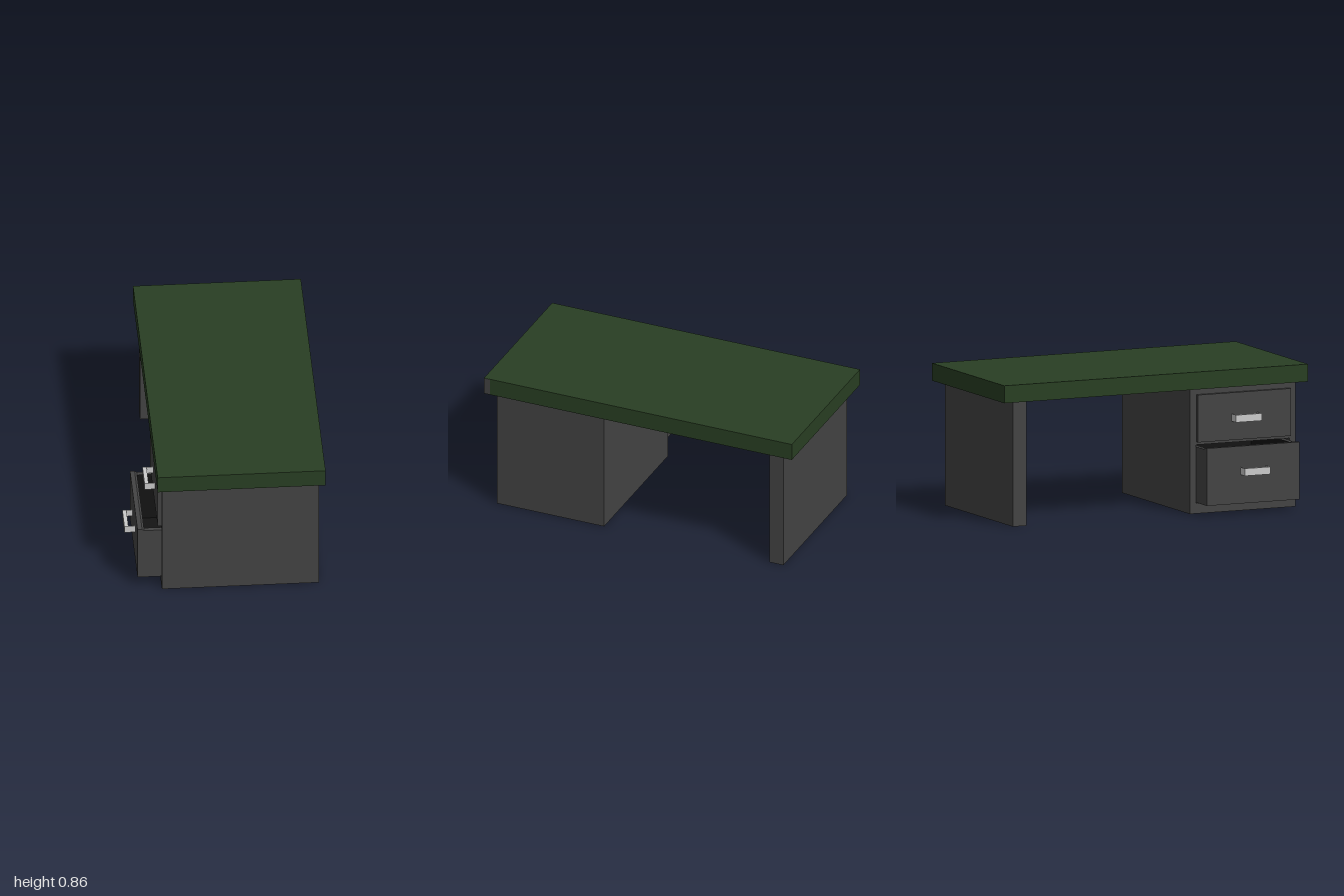
import * as THREE from 'three';

const paint = (color, side = THREE.FrontSide) =>
  new THREE.MeshStandardMaterial({ color, side, flatShading: true });

export function createModel() {
  const desk = new THREE.Group();
  desk.name = 'desk';
  const green = paint(0x293f23);
  const dark = paint(0x444444);
  const metal = paint(0xcccccc);
  const lining = paint(0x141414, THREE.BackSide);

  // Box given by its limits on each axis
  function box(name, mat, [x0, x1], [y0, y1], [z0, z1], parent = desk) {
    const mesh = new THREE.Mesh(new THREE.BoxGeometry(x1 - x0, y1 - y0, z1 - z0), mat);
    mesh.position.set((x0 + x1) / 2, (y0 + y1) / 2, (z0 + z1) / 2);
    mesh.name = name;
    parent.add(mesh);
    return mesh;
  }

  // Rectangle in the (-z, y) plane, for extruding along x
  function rect(target, [y0, y1], [z0, z1]) {
    target.moveTo(-z1, y0);
    target.lineTo(-z0, y0);
    target.lineTo(-z0, y1);
    target.lineTo(-z1, y1);
    target.closePath();
    return target;
  }

  // Worktop and the side panel
  box('worktop', green, [-0.415, 0.585], [0.75, 0.855], [-1, 1]);
  box('worktopEdgeStrip', dark, [0.58, 0.586], [0.752, 0.853], [0.96, 0.999]);
  box('sidePanel', dark, [-0.385, 0.55], [0, 0.75], [-0.93, -0.84]);

  // Pedestal: hollow part around the open drawer, solid part behind it
  const frame = rect(new THREE.Shape(), [0, 0.75], [0.235, 0.93]);
  frame.holes.push(rect(new THREE.Path(), [0.062, 0.413], [0.277, 0.893]));
  const frameGeo = new THREE.ExtrudeGeometry(frame, { depth: 0.535, bevelEnabled: false });
  frameGeo.rotateY(Math.PI / 2);
  const pedestal = new THREE.Mesh(frameGeo, dark);
  pedestal.position.x = -0.385;
  pedestal.name = 'pedestalFrame';
  desk.add(pedestal);
  box('pedestalBack', dark, [0.15, 0.55], [0, 0.75], [0.235, 0.93]);

  // Pull handle: a bar on two thin end plates
  function addHandle(parent, faceX, y) {
    const handle = new THREE.Group();
    handle.name = 'handle';
    const ys = [y - 0.022, y + 0.022];
    box('handleBar', metal, [faceX - 0.062, faceX - 0.038], ys, [0.5, 0.67], handle);
    for (const z of [0.5, 0.667])
      box('handleEnd', metal, [faceX - 0.038, faceX], ys, [z, z + 0.003], handle);
    parent.add(handle);
  }

  // Closed upper drawer
  const upper = new THREE.Group();
  upper.name = 'upperDrawer';
  box('upperDrawerFront', dark, [-0.407, -0.385], [0.43, 0.715], [0.28, 0.89], upper);
  addHandle(upper, -0.407, 0.566);
  desk.add(upper);

  // Lower drawer, pulled out: front with a sloped inner lip
  const lower = new THREE.Group();
  lower.name = 'lowerDrawer';
  const lip = new THREE.Shape([
    [-0.527, 0.065], [-0.487, 0.065], [-0.487, 0.4], [-0.5, 0.41], [-0.527, 0.41],
  ].map(([x, y]) => new THREE.Vector2(x, y)));
  const front = new THREE.Mesh(
    new THREE.ExtrudeGeometry(lip, { depth: 0.61, bevelEnabled: false }), dark);
  front.position.z = 0.28;
  front.name = 'lowerDrawerFront';
  lower.add(front);

  // Tray walls, floor and dark lining
  const run = [-0.487, 0.1];
  for (const z of [[0.28, 0.308], [0.862, 0.89]])
    box('drawerSide', dark, run, [0.065, 0.4], z, lower);
  box('drawerFloor', dark, run, [0.065, 0.085], [0.308, 0.862], lower);
  box('drawerBack', dark, [0.08, 0.1], [0.085, 0.4], [0.308, 0.862], lower);
  box('drawerLining', lining, [-0.486, 0.079], [0.086, 0.399], [0.309, 0.861], lower);
  addHandle(lower, -0.527, 0.261);
  desk.add(lower);

  return desk;
}
